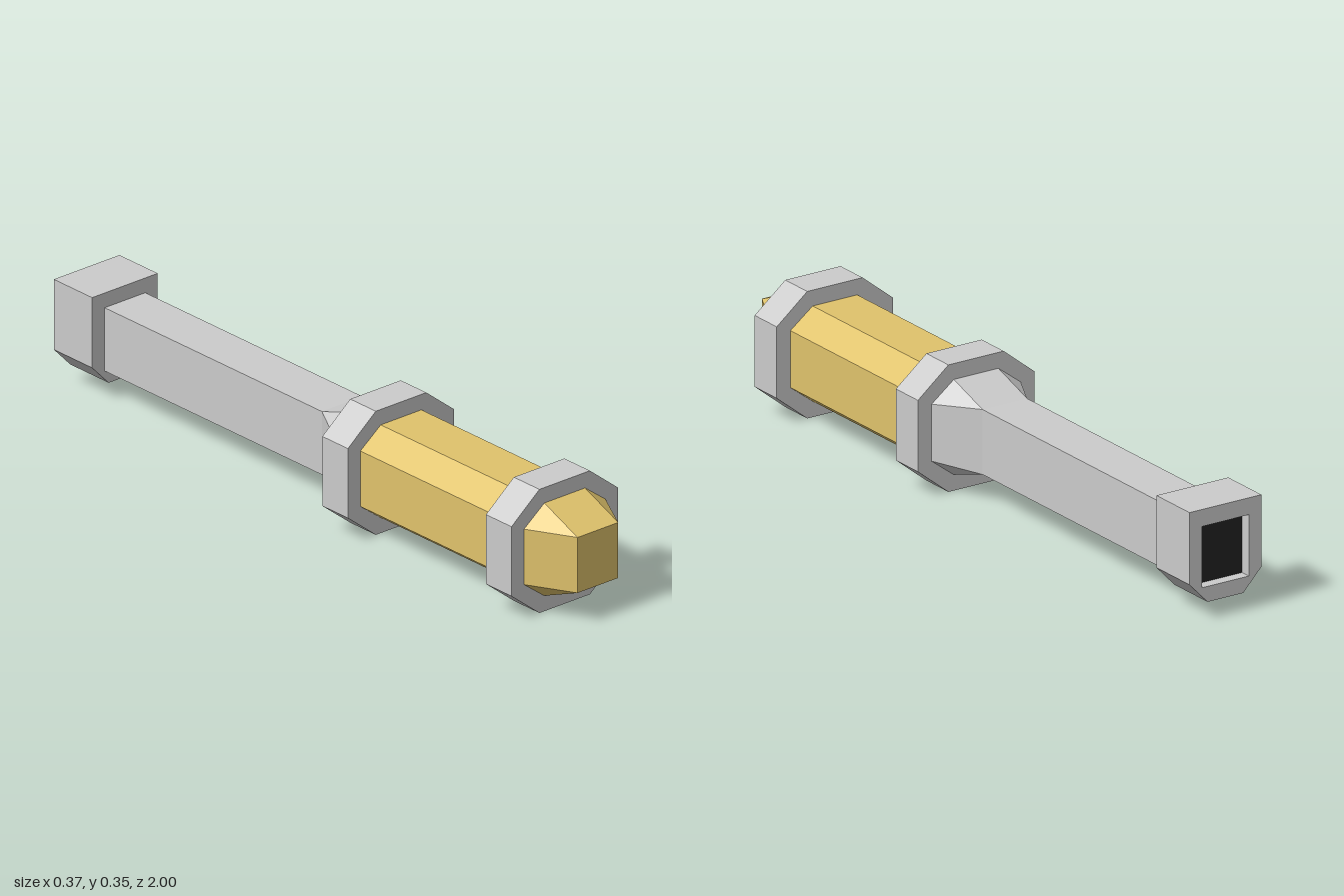
import * as THREE from 'three';
import { ConvexGeometry } from 'three/addons/geometries/ConvexGeometry.js';

const CY = 0.178; // height of the long axis

const grey = new THREE.MeshStandardMaterial({ color: 0xcccccc, flatShading: true });
const gold = new THREE.MeshStandardMaterial({ color: 0xe0c36c, flatShading: true });
const dark = new THREE.MeshStandardMaterial({ color: 0x222222, flatShading: true });

// Cross-sections, relative to the axis
const rect = (w, h) => [[w, -h], [w, h], [-w, h], [-w, -h]];
const octagon = (w, h, flatW, flatH) => [
  [w, -flatH], [w, flatH], [flatW, h], [-flatW, h],
  [-w, flatH], [-w, -flatH], [-flatW, -h], [flatW, -h],
];
const BODY = octagon(0.14, 0.132, 0.07, 0.079);
const RING = octagon(0.183, 0.176, 0.087, 0.099);
const CAP = [[0.113, -0.068], [0.113, 0.132], [-0.113, 0.132], [-0.113, -0.068], [-0.056, -0.128], [0.056, -0.128]];
const SOCKET = rect(0.074, 0.085);

const toVectors = (pts) => pts.map(([x, y]) => new THREE.Vector2(x, y));

// Straight prism of a section from z0 to z1, with an optional hole
function prism(section, z0, z1, hole) {
  const shape = new THREE.Shape(toVectors(section));
  if (hole) shape.holes.push(new THREE.Path(toVectors(hole)));
  return new THREE.ExtrudeGeometry(shape, { depth: z1 - z0, bevelEnabled: false }).translate(0, CY, z0);
}

// Faceted convex solid through several sections, each given as [section, z]
function hull(...layers) {
  return new ConvexGeometry(layers.flatMap(([section, z]) =>
    section.map(([x, y]) => new THREE.Vector3(x, CY + y, z))));
}

export function createModel() {
  const group = new THREE.Group();
  const add = (name, geometry, material) => {
    const mesh = new THREE.Mesh(geometry, material);
    mesh.name = name;
    group.add(mesh);
    return mesh;
  };

  // Gold barrel with a tapered nose
  add('barrel', hull([BODY, 0.18], [BODY, 0.87], [rect(0.07, 0.079), 1]), gold);

  // Octagonal collars at both ends of the barrel
  add('frontCollar', prism(RING, 0.77, 0.87), grey);
  add('rearCollar', prism(RING, 0.13, 0.23), grey);

  // Neck narrowing from the collar to the handle
  add('neck', hull([BODY, 0.13], [rect(0.07, 0.09), 0]), grey);
  add('handle', prism(rect(0.07, 0.09), -0.86, 0), grey);

  // Pommel with a shallow rectangular socket in its back face
  add('pommel', prism(CAP, -0.967, -0.85), grey);
  add('pommelRim', prism(CAP, -1, -0.967, SOCKET), grey);
  const floor = add('socketFloor', new THREE.PlaneGeometry(0.148, 0.17), dark);
  floor.rotation.y = Math.PI;
  floor.position.set(0, CY + 0.002, -0.969);
  floor.position.y = CY;

  return group;
}
